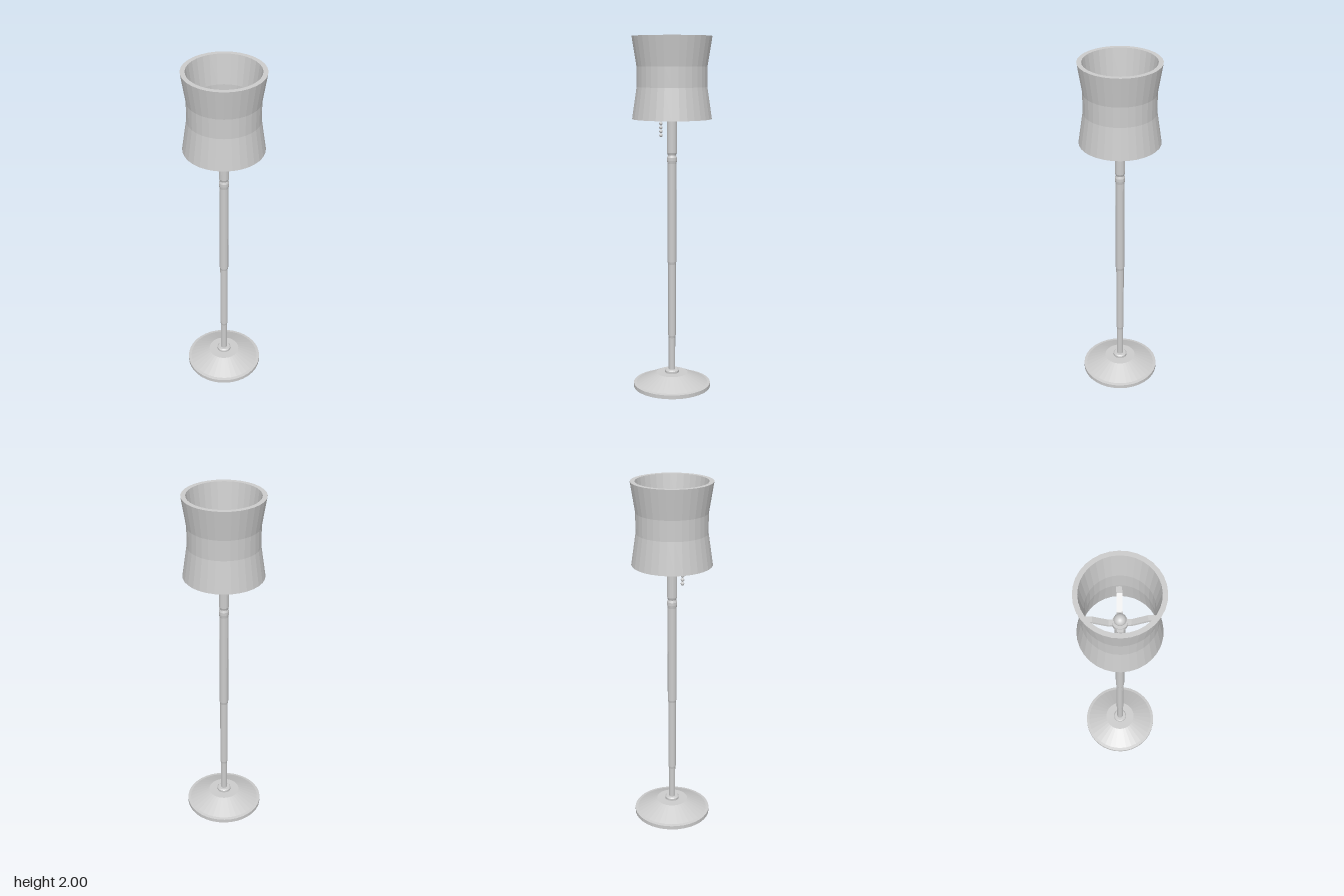
import * as THREE from 'three';

const flat = new THREE.MeshStandardMaterial({ color: 0xcccccc, flatShading: true });
const smooth = new THREE.MeshStandardMaterial({ color: 0xcccccc });

function add(parent, name, geometry, material = flat) {
  const mesh = new THREE.Mesh(geometry, material);
  mesh.name = name;
  parent.add(mesh);
  return mesh;
}

// Profiles are [radius, height] pairs, outer side listed from bottom to top
function lathe(profile, sides) {
  return new THREE.LatheGeometry(profile.map(([r, y]) => new THREE.Vector2(r, y)), sides);
}

export function createModel() {
  const lamp = new THREE.Group();
  lamp.name = 'floorLamp';

  // Weighted foot: thin disc, sloping cover and flat top
  add(lamp, 'base', lathe([
    [0, 0], [0.222, 0], [0.222, 0.022], [0.205, 0.025], [0.09, 0.081], [0, 0.081],
  ], 36));
  add(lamp, 'baseCollar', lathe([[0.04, 0.078], [0.04, 0.094], [0.034, 0.1], [0, 0.1]], 24));

  // Pole that widens in steps, with a turned ring near the top
  add(lamp, 'pole', lathe([
    [0.019, 0.09], [0.019, 0.29], [0.022, 0.305], [0.022, 0.725], [0.025, 0.74],
    [0.025, 1.3], [0.028, 1.318], [0.028, 1.335], [0.023, 1.348], [0.028, 1.362],
    [0.028, 1.665], [0, 1.665],
  ], 20));

  // Thick waisted shade, open at both ends
  add(lamp, 'shade', lathe([
    [0.196, 1.55], [0.221, 1.55], [0.195, 1.725], [0.195, 1.836], [0.221, 2],
    [0.196, 2], [0.173, 1.836], [0.173, 1.725], [0.196, 1.55],
  ], 32));

  // Hub and finial ball
  const hub = add(lamp, 'hub', new THREE.CylinderGeometry(0.04, 0.04, 0.03, 24));
  hub.position.y = 1.66;
  const finial = add(lamp, 'finial', new THREE.SphereGeometry(0.032, 24, 16), smooth);
  finial.position.y = 1.7;

  // Four cranked arms that rise from the hub to the shade
  const crank = [[0, 1.65], [0.058, 1.65], [0.14, 1.695], [0.18, 1.695],
    [0.18, 1.712], [0.138, 1.712], [0.056, 1.667], [0, 1.667]];
  const armGeometry = new THREE.ExtrudeGeometry(
    new THREE.Shape(crank.map(([x, y]) => new THREE.Vector2(x, y))),
    { depth: 0.03, bevelEnabled: false },
  ).translate(0, 0, -0.015);
  for (let i = 0; i < 4; i++) {
    add(lamp, 'shadeArm', armGeometry).rotation.y = i * Math.PI / 2;
  }

  // Pull chain with beads at its end
  const chain = new THREE.Group();
  chain.name = 'pullChain';
  chain.position.x = -0.075;
  lamp.add(chain);
  add(chain, 'cord', new THREE.CylinderGeometry(0.003, 0.003, 0.22, 8)).position.y = 1.56;
  for (let i = 0; i < 4; i++) {
    add(chain, 'bead', new THREE.SphereGeometry(0.01, 12, 8), smooth).position.y = 1.455 + i * 0.022;
  }

  return lamp;
}
